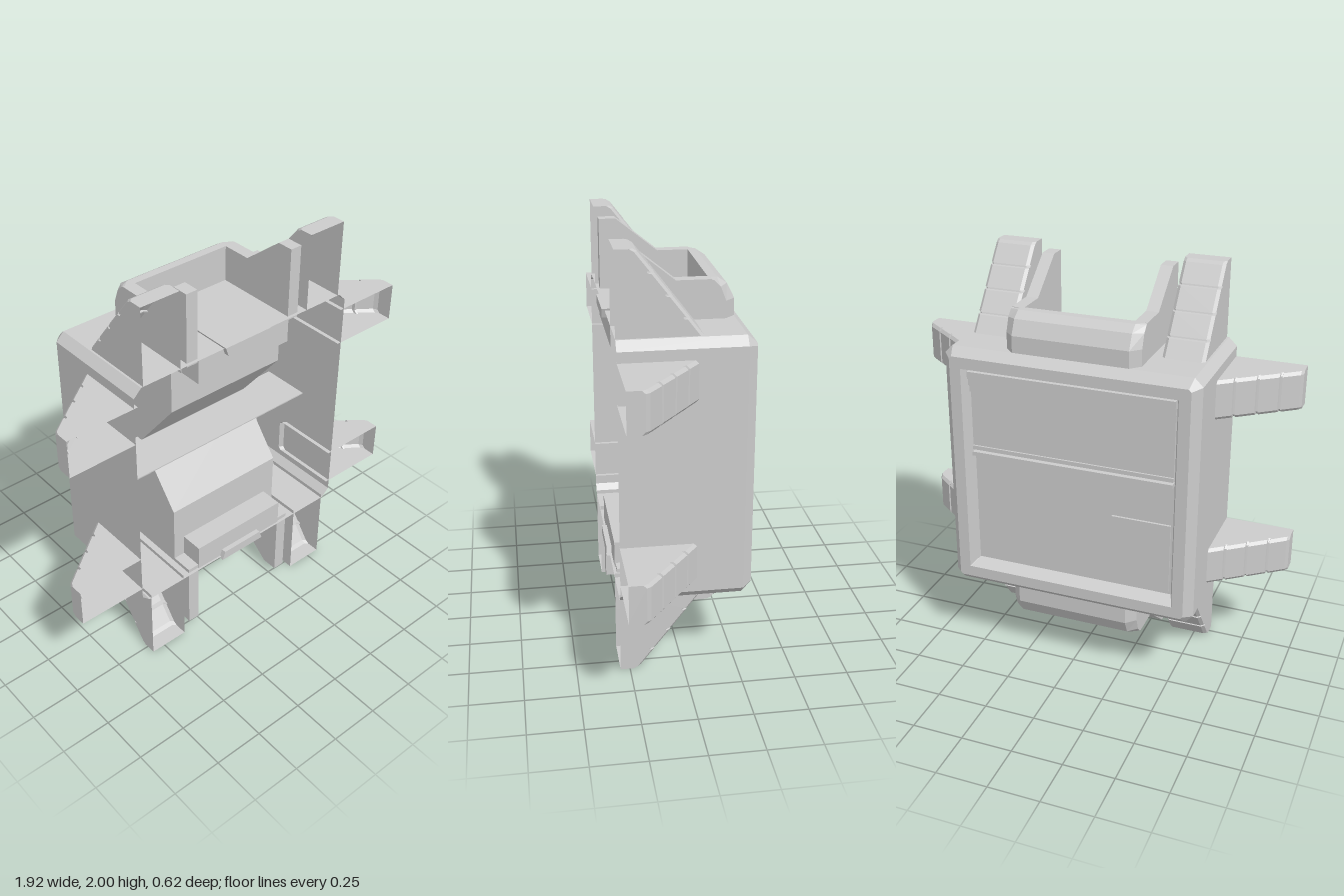
import * as THREE from 'three';

const mat = new THREE.MeshStandardMaterial({ color: 0xcccccc, flatShading: true, side: THREE.DoubleSide });

function add(parent, geo, name) {
  const m = new THREE.Mesh(geo, mat);
  m.name = name;
  parent.add(m);
  return m;
}

// Skin between successive rings of [x, y, z] points; optional end caps.
function loft(rings, closed = true, caps = false) {
  const pos = [];
  const n = rings[0].length;
  for (let i = 0; i < rings.length - 1; i++) {
    for (let j = 0; j < (closed ? n : n - 1); j++) {
      const k = (j + 1) % n;
      const a = rings[i][j], b = rings[i][k], c = rings[i + 1][k], d = rings[i + 1][j];
      pos.push(...a, ...b, ...c, ...a, ...c, ...d);
    }
  }
  if (caps) {
    for (const [r, flip] of [[rings[0], true], [rings[rings.length - 1], false]]) {
      for (let j = 1; j < n - 1; j++) {
        if (flip) pos.push(...r[0], ...r[j + 1], ...r[j]);
        else pos.push(...r[0], ...r[j], ...r[j + 1]);
      }
    }
  }
  const g = new THREE.BufferGeometry();
  g.setAttribute('position', new THREE.Float32BufferAttribute(pos, 3));
  g.computeVertexNormals();
  return g;
}

// Extrude a (z, y) outline along x from x0 to x1.
function sideExtrude(points, x0, x1) {
  const shape = new THREE.Shape(points.map(([z, y]) => new THREE.Vector2(-z, y)));
  const g = new THREE.ExtrudeGeometry(shape, { depth: x1 - x0, bevelEnabled: false });
  g.rotateY(Math.PI / 2);
  g.translate(x0, 0, 0);
  return g;
}

function box(parent, name, x0, x1, y0, y1, z0, z1) {
  const g = new THREE.BoxGeometry(x1 - x0, y1 - y0, z1 - z0);
  g.translate((x0 + x1) / 2, (y0 + y1) / 2, (z0 + z1) / 2);
  return add(parent, g, name);
}

// Rectangle with cut corners at depth z.
function outline(h, cut, z) {
  const a = h - cut;
  return [[h, -a], [h, a], [a, h], [-a, h], [-h, a], [-h, -a], [-a, -h], [a, -h]]
    .map(([x, y]) => [x, y, z]);
}

// Hollow buttress pointing up +y, open at the front, with grooves over its slope.
function buttress(u0, u1, z0, z1, w, steps) {
  const path = [[u0, z0]];
  for (let i = 1; i < steps; i++) {
    const t = i / steps;
    const u = u0 + (u1 - u0) * t, z = z0 + (z1 - z0) * t;
    path.push([u - 0.006, z - 0.004], [u - 0.004, z + 0.012], [u + 0.004, z + 0.016], [u + 0.006, z + 0.004]);
  }
  path.push([u1 - 0.012, z1 - 0.008], [u1, z1 + 0.012], [u1, 0.295]);
  const c = 0.015;
  return loft(path.map(([u, z]) => {
    const zc = Math.min(z + c, 0.295);
    return [[-w, u, 0.295], [-w, u, zc], [-w + c, u, z], [w - c, u, z], [w, u, zc], [w, u, 0.295]];
  }), false);
}

// One end of the model: bracket, floor, tongue and two buttresses.
function makeEnd() {
  const end = new THREE.Group();

  // Rounded bar closing the back of the bracket
  const bar = [[-0.15, 0.6], [-0.15, 0.8], [-0.19, 0.8], [-0.235, 0.77], [-0.27, 0.7], [-0.27, 0.6]];
  const tip = [[-0.15, 0.6], [-0.15, 0.8], [-0.17, 0.795], [-0.2, 0.765], [-0.225, 0.7], [-0.225, 0.6]];
  const at = (pts, x) => pts.map(([z, y]) => [x, y, z]);
  add(end, loft([at(tip, -0.325), at(bar, -0.28), at(bar, 0.28), at(tip, 0.325)], true, true), 'bracketBar');

  // Side legs that flare into upright fins at the front
  const leg = [[-0.16, 0.6], [0.28, 0.6], [0.28, 0.96], [0.2, 0.96], [0.15, 0.92], [0, 0.8], [-0.16, 0.8]];
  for (const x of [-0.325, 0.265]) add(end, sideExtrude(leg, x, x + 0.06), 'bracketLeg');

  // Floor between the legs, and the tongue lying on it
  box(end, 'bracketFloor', -0.265, 0.265, 0.49, 0.62, -0.15, 0.285);
  const tongue = [[-0.13, 0.63], [-0.115, 0.585], [0.115, 0.585], [0.13, 0.63]];
  add(end, loft([-0.08, 0.31].map(z => tongue.map(([x, y]) => [x, y, z])), true, true), 'tongue');

  for (const s of [-1, 1]) {
    add(end, buttress(0.6, 1, -0.1, 0.205, 0.1, 4), 'endButtress').position.x = s * 0.47;
  }
  return end;
}

export function createModel() {
  const model = new THREE.Group();
  model.name = 'hatchModule';
  const root = new THREE.Group();
  root.name = 'module';
  root.position.y = 1;
  model.add(root);

  // Shell: open front, chamfered back, framed recess
  add(root, loft([
    outline(0.62, 0.04, 0.295), outline(0.62, 0.04, -0.27), outline(0.58, 0.012, -0.315),
    outline(0.525, 0.001, -0.315), outline(0.5, 0.001, -0.245),
  ]), 'shell');
  box(root, 'recessPanel', -0.5, 0.5, -0.5, 0.5, -0.245, -0.235);

  // Shutter band and its ridges in the recess
  box(root, 'shutterBand', -0.5, 0.5, 0.12, 0.4, -0.265, -0.24);
  for (let i = 0; i < 3; i++) {
    box(root, 'upperRidge', -0.505, 0.505, 0.4 + i * 0.035, 0.435 + i * 0.035, -0.27 - i * 0.01, -0.24);
  }
  for (let i = 0; i < 2; i++) {
    box(root, 'lowerRidge', -0.5, 0.5, 0.075 + i * 0.03, 0.095 + i * 0.03, -0.28 + i * 0.006, -0.24);
  }
  box(root, 'accessPlate', -0.49, -0.2, -0.48, -0.13, -0.257, -0.24);

  // Central core with a V-shaped valley, and the divider at its bottom
  add(root, sideExtrude([
    [-0.23, -0.6], [0.17, -0.6], [0.17, -0.3], [-0.07, 0], [0.17, 0.3], [0.17, 0.6], [-0.23, 0.6],
  ], -0.325, 0.325), 'core');
  box(root, 'divider', -0.53, 0.53, -0.003, 0.003, -0.1, 0.15);

  // Matching top and bottom ends
  for (const [name, turn] of [['topEnd', 0], ['bottomEnd', Math.PI]]) {
    const end = makeEnd();
    end.name = name;
    end.rotation.z = turn;
    root.add(end);
  }

  // Four side buttresses
  for (const s of [-1, 1]) {
    for (const y of [-0.43, 0.435]) {
      const b = add(root, buttress(0.6, 0.96, -0.07, 0.205, 0.095, 4), s > 0 ? 'leftButtress' : 'rightButtress');
      b.rotation.z = -s * Math.PI / 2;
      b.position.y = y;
    }
  }
  return model;
}
